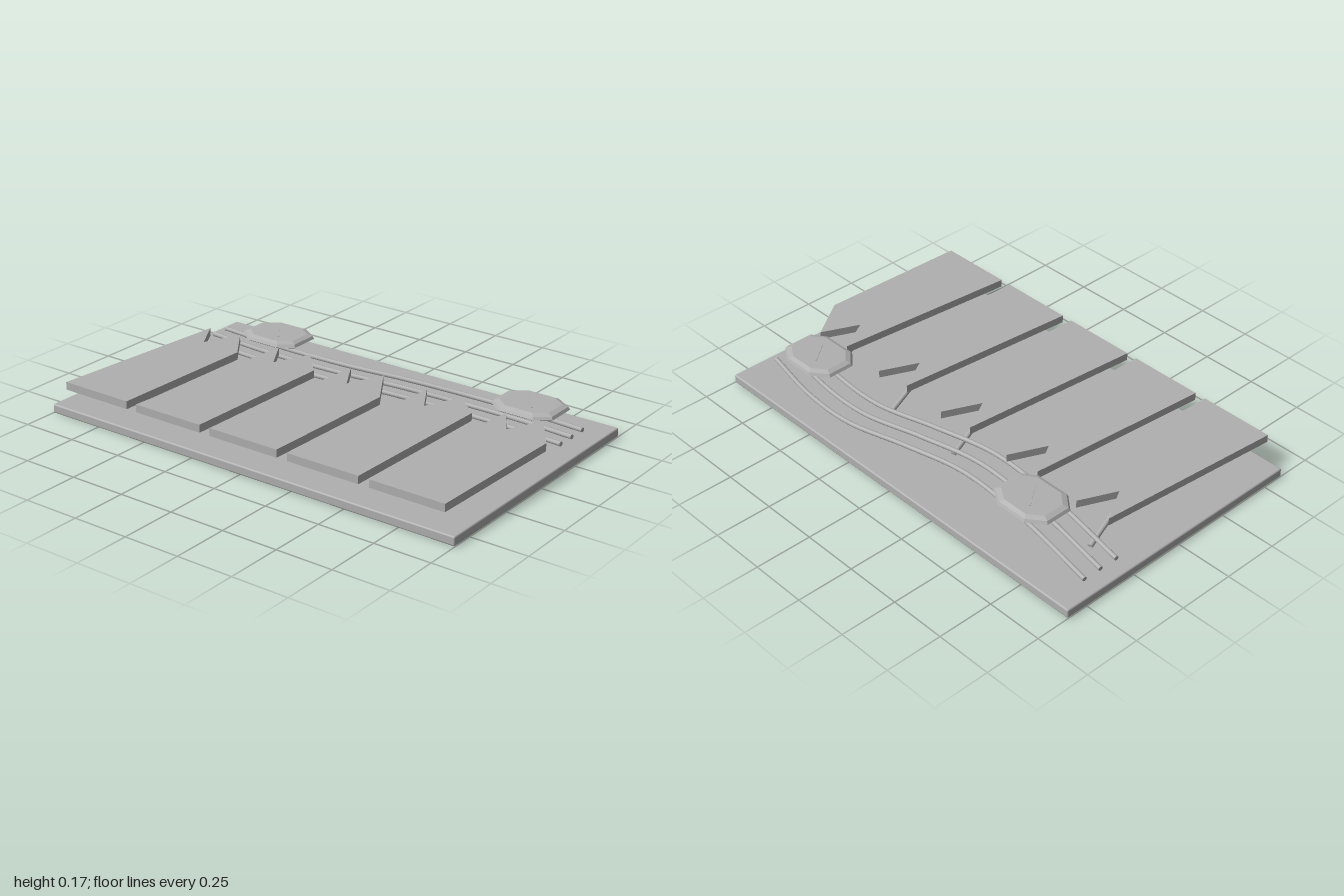
import * as THREE from 'three';
import { RoundedBoxGeometry } from 'three/addons/geometries/RoundedBoxGeometry.js';
import { ConvexGeometry } from 'three/addons/geometries/ConvexGeometry.js';

export function createModel() {
  const model = new THREE.Group();
  const grey = new THREE.MeshStandardMaterial({ color: 0xb0b0b0 });
  grey.name = 'grey';

  const add = (name, geometry, x = 0, y = 0, z = 0) => {
    const mesh = new THREE.Mesh(geometry, grey);
    mesh.name = name;
    mesh.position.set(x, y, z);
    model.add(mesh);
    return mesh;
  };

  // Base slab with softened edges
  add('base', new RoundedBoxGeometry(1.2, 0.04, 2, 2, 0.007), 0, 0.02, 0);

  // Round rod between two points
  const up = new THREE.Vector3(0, 1, 0);
  const addRod = (name, a, b, radius) => {
    const dir = b.clone().sub(a);
    const rod = add(name, new THREE.CylinderGeometry(radius, radius, dir.length(), 10));
    rod.position.copy(a).add(b).multiplyScalar(0.5);
    rod.quaternion.setFromUnitVectors(up, dir.normalize());
  };

  // Five notched planks, each with a slanting strut; the near corner varies
  const cornerX = [0.075, 0.11, 0.045, 0.135, 0.065];
  cornerX.forEach((cx, i) => {
    const z0 = -0.753 + i * 0.384;
    const outline = [
      [-0.6, -0.162], [0.225, -0.085], [0.08, 0], [0.24, 0.072],
      [cx, 0.192], [-0.6, 0.172],
    ];
    const shape = new THREE.Shape(outline.map(([x, z]) => new THREE.Vector2(x, -z)));
    const plank = new THREE.ExtrudeGeometry(shape, { depth: 0.034, bevelEnabled: false });
    plank.rotateX(-Math.PI / 2);
    add('plank', plank, 0, 0.126, z0);
    addRod('strut', new THREE.Vector3(-0.06, 0.13, z0 + 0.035),
      new THREE.Vector3(0.29, 0.042, z0 - 0.055), 0.011);
  });

  // Three parallel winding cables with closed ends
  const path = [
    [0.285, 0.064, -0.94], [0.225, 0.079, -0.55], [0.207, 0.09, -0.2], [0.255, 0.079, 0.1],
    [0.307, 0.058, 0.4], [0.303, 0.059, 0.65], [0.258, 0.073, 0.93],
  ];
  for (let i = 0; i < 3; i++) {
    const points = path.map(([x, y, z]) => new THREE.Vector3(x + i * 0.084, y, z));
    const curve = new THREE.CatmullRomCurve3(points);
    add('cable', new THREE.TubeGeometry(curve, 60, 0.01, 10));
    for (const t of [0, 1]) {
      const cap = add('cableEnd', new THREE.CircleGeometry(0.01, 10));
      cap.position.copy(curve.getPoint(t));
      const out = curve.getTangent(t).multiplyScalar(t ? 1 : -1);
      cap.quaternion.setFromUnitVectors(new THREE.Vector3(0, 0, 1), out);
    }
  }

  // Two bevelled octagonal pads above the cables
  const octagon = [
    [-0.06, -0.147], [0.06, -0.147], [0.115, -0.075], [0.115, 0.07],
    [0.065, 0.145], [-0.07, 0.145], [-0.115, 0.08], [-0.115, -0.08],
  ];
  const rings = [[0.146, 0.94], [0.151, 1], [0.163, 0.95], [0.171, 0.8]];
  for (const z0 of [-0.553, 0.73]) {
    const points = rings.flatMap(([y, s]) =>
      octagon.map(([x, z]) => new THREE.Vector3(x * s, y, z * s)));
    add('pad', new ConvexGeometry(points), 0.35, 0, z0);
    // Low diagonal ridge on the pad top
    const ridge = add('padRidge', new THREE.BoxGeometry(0.12, 0.004, 0.008), 0.35, 0.171, z0);
    ridge.rotation.y = 0.65;
  }

  return model;
}
